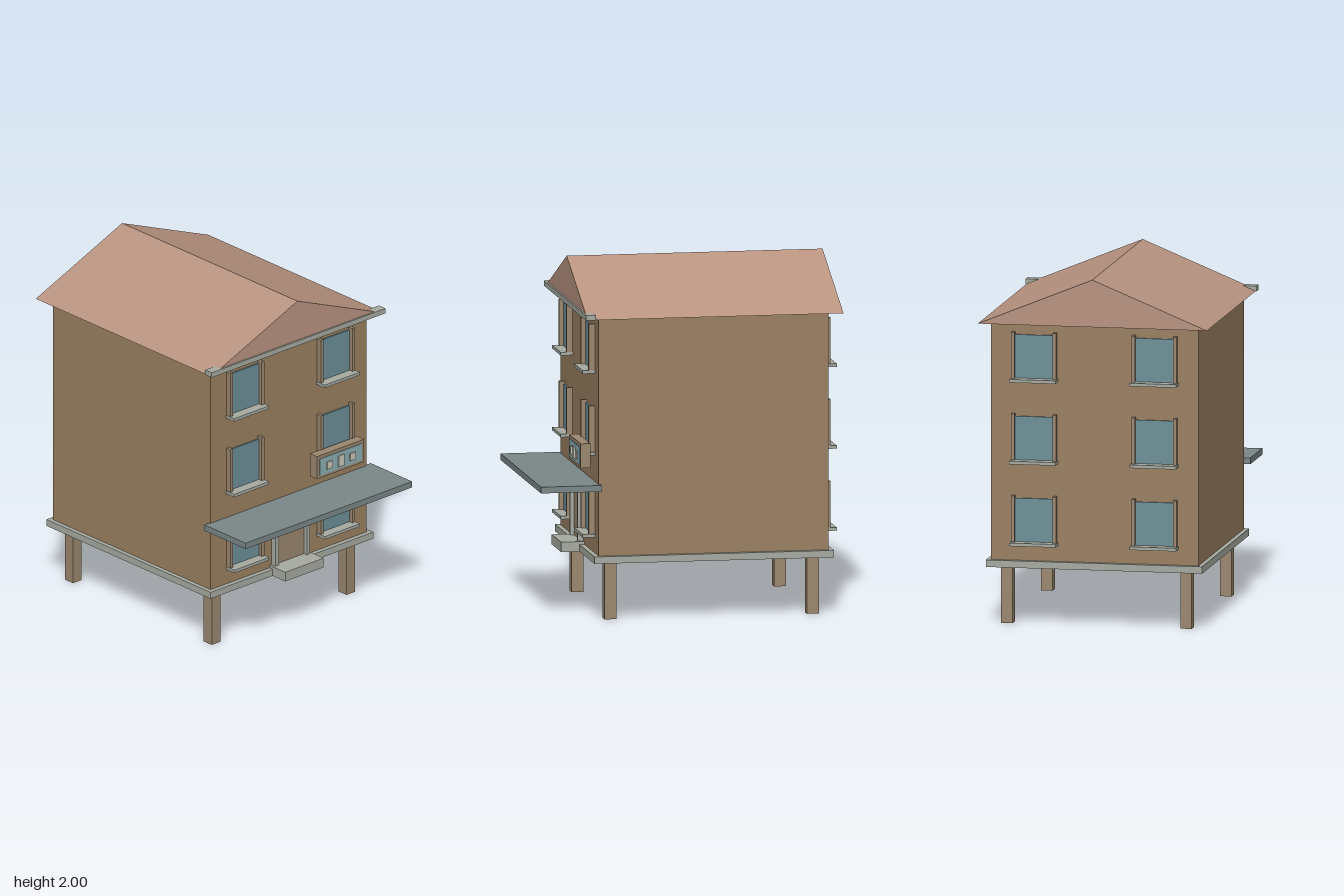
import * as THREE from 'three';

const mat = (color) => new THREE.MeshStandardMaterial({ color, flatShading: true });
const wall = mat(0x997f60), timber = mat(0x9a866e), stone = mat(0xa6aaa0), tiles = mat(0xb89380);
const glass = mat(0x6b8f97), slate = mat(0x7a8686), panelBlue = mat(0x8aaeb2), cream = mat(0xcac8b8);

// Box given by its minimum and maximum on each axis
function box(parent, name, material, [x0, x1], [y0, y1], [z0, z1]) {
  const mesh = new THREE.Mesh(new THREE.BoxGeometry(x1 - x0, y1 - y0, z1 - z0), material);
  mesh.position.set((x0 + x1) / 2, (y0 + y1) / 2, (z0 + z1) / 2);
  mesh.name = name;
  parent.add(mesh);
  return mesh;
}

// Window with its wall plane at z = 0 and its sill bottom at y = 0
function createWindow() {
  const g = new THREE.Group();
  g.name = 'window';
  box(g, 'windowPane', glass, [-0.113, 0.113], [0.018, 0.267], [-0.01, 0.01]);
  for (const s of [-1, 1]) {
    const x = s * 0.12;
    box(g, 'windowJamb', timber, [x - 0.01, x + 0.01], [0.018, 0.283], [-0.005, 0.034]);
  }
  box(g, 'windowSill', stone, [-0.134, 0.134], [0, 0.018], [-0.005, 0.07]);
  return g;
}

export function createModel() {
  const house = new THREE.Group();
  house.name = 'house';
  const front = 0.53, back = -0.79;

  // Stilts, floor slab and walls
  for (const s of [-1, 1])
    for (const z of [0.453, -0.71])
      box(house, 'stilt', timber, [s * 0.516 - 0.033, s * 0.516 + 0.033], [0, 0.335], [z - 0.034, z + 0.034]);
  box(house, 'floorSlab', stone, [-0.623, 0.623], [0.33, 0.37], [-0.818, 0.558]);
  box(house, 'walls', wall, [-0.597, 0.597], [0.365, 1.735], [back, front]);

  // Gabled roof
  const gable = new THREE.Shape([[-0.66, 1.73], [0.66, 1.73], [0, 2]].map(([x, y]) => new THREE.Vector2(x, y)));
  const roof = new THREE.Mesh(new THREE.ExtrudeGeometry(gable, { depth: 1.47, bevelEnabled: false }), tiles);
  roof.position.z = -0.866;
  roof.name = 'roof';
  house.add(roof);
  box(house, 'cornice', stone, [-0.665, 0.665], [1.729, 1.759], [0.558, 0.614]);

  // Windows on three floors, front and back
  for (const y of [0.46, 0.929, 1.397])
    for (const x of [-0.347, 0.347])
      for (const isFront of [true, false]) {
        const w = createWindow();
        w.position.set(x, y, isFront ? front : back);
        if (!isFront) w.rotation.y = Math.PI;
        house.add(w);
      }

  // Entrance: door, posts, step and canopy
  box(house, 'door', timber, [-0.108, 0.108], [0.38, 0.68], [0.52, 0.542]);
  for (const s of [-1, 1])
    box(house, 'doorPost', stone, [s * 0.119 - 0.012, s * 0.119 + 0.012], [0.38, 0.705], [0.525, 0.565]);
  box(house, 'doorStep', stone, [-0.147, 0.147], [0.329, 0.386], [0.525, 0.663]);
  box(house, 'canopy', slate, [-0.637, 0.637], [0.744, 0.78], [0.52, 0.868]);

  // Display box hung under the upper window
  const display = new THREE.Group();
  display.name = 'displayBox';
  house.add(display);
  box(display, 'displayCase', timber, [0.139, 0.499], [0.86, 1.0], [0.558, 0.615]);
  box(display, 'displayPanel', panelBlue, [0.16, 0.48], [0.876, 0.98], [0.6, 0.619]);
  for (const [x, h] of [[0.23, 0.022], [0.318, 0.034], [0.405, 0.022]])
    box(display, 'displayBlock', cream, [x - 0.021, x + 0.021], [0.925 - h, 0.925 + h], [0.61, 0.627]);

  return house;
}
